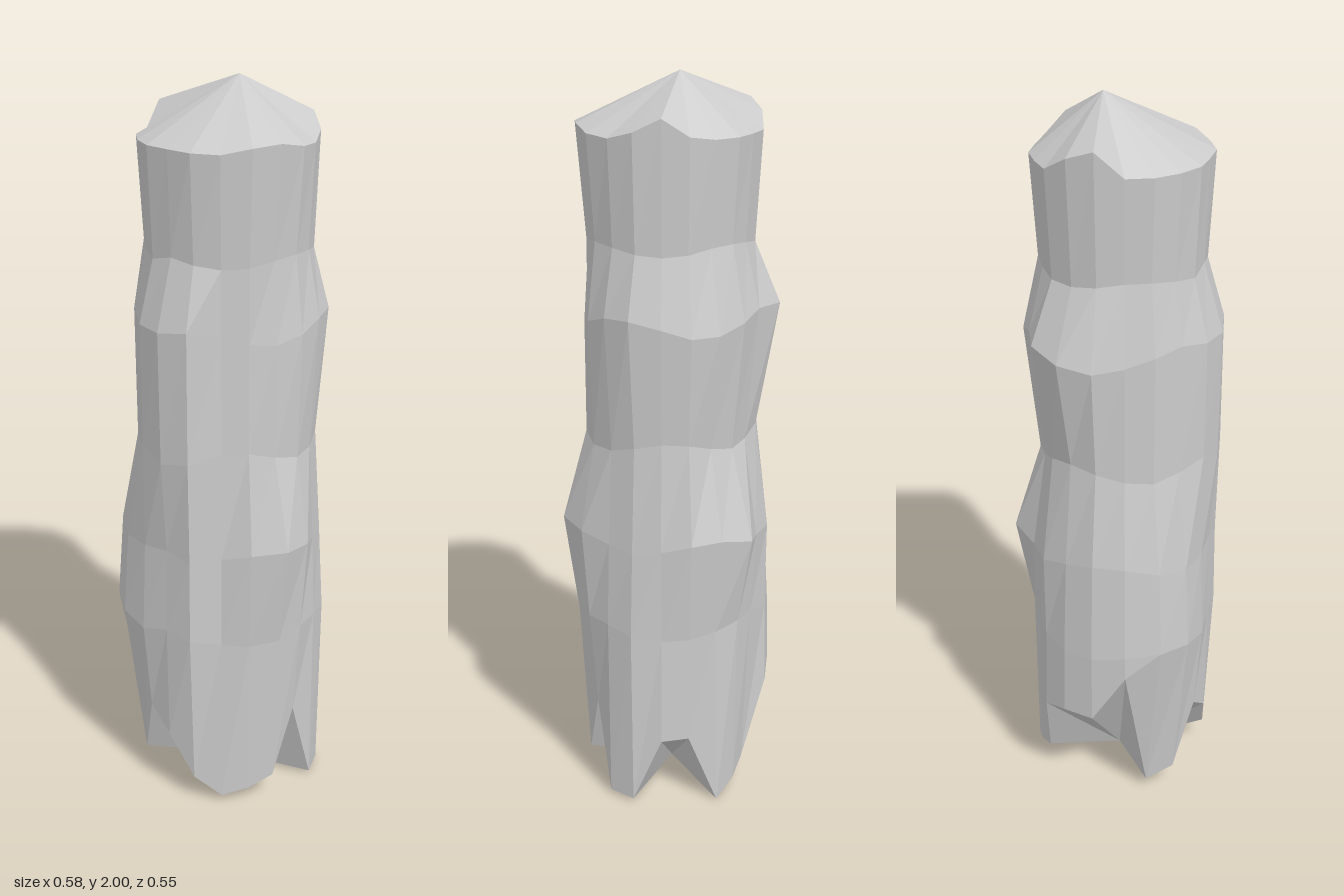
import * as THREE from 'three';

const SIDES = 20;

// Ragged foot, one [height, radius] per column,
// starting at the front and turning towards the model's left
const FOOT = [
  [0.20, 0.255], [0.08, 0.25], [0.02, 0.235], [0.04, 0.235], [0.07, 0.24],
  [0.26, 0.24], [0.01, 0.255], [0.01, 0.26], [0.20, 0.25], [0.20, 0.235],
  [0, 0.255], [0.03, 0.235], [0.06, 0.22], [0.28, 0.27], [0.31, 0.285],
  [0.31, 0.293], [0.46, 0.305], [0.03, 0.215], [0.07, 0.245], [0.26, 0.255],
];

// Rings above it: height, waviness of the height, and radii every 36 degrees
const RINGS = [
  { y: 0.52, wave: 0.015, r: [0.26, 0.245, 0.265, 0.25, 0.245, 0.243, 0.24, 0.28, 0.305, 0.30] },
  { y: 0.78, wave: 0.02, r: [0.255, 0.245, 0.303, 0.25, 0.25, 0.272, 0.26, 0.265, 0.285, 0.285] },
  { y: 1.05, wave: 0.02, r: [0.272, 0.24, 0.235, 0.235, 0.23, 0.21, 0.215, 0.235, 0.24, 0.25] },
  { y: 1.38, wave: 0.025, r: [0.276, 0.235, 0.235, 0.255, 0.25, 0.25, 0.25, 0.293, 0.245, 0.25] },
  { y: 1.57, wave: 0.01, r: [0.222, 0.225, 0.22, 0.222, 0.215, 0.203, 0.21, 0.22, 0.215, 0.22] },
  { y: 1.85, wave: 0, r: [0.23, 0.247, 0.247, 0.235, 0.225, 0.223, 0.225, 0.238, 0.23, 0.235] },
];
const TOP = RINGS.length;

// Ridges (+) and grooves (-): column, first ring, last ring, change of radius
const RIDGES = [
  [1, 1, 4, 0.015], [2, 1, 4, -0.008], [3, 1, 4, -0.012], [6, 1, 1, 0.008],
  [7, 1, 1, 0.015], [7, 4, 4, 0.008], [9, 1, 1, -0.01], [11, 2, 2, 0.022],
  [12, 2, 2, -0.006], [13, 4, 4, 0.012], [17, 1, 2, 0.008], [19, 1, 2, -0.008],
];

// Columns where the top rim is lifted
const RIM_LIFTS = { 3: 0.015, 4: 0.02, 5: 0.005, 7: 0.02, 8: 0.055, 9: 0.01, 14: 0.04, 15: 0.065 };

// Corner of level i (0 is the foot) in column k
function corner(i, k) {
  k %= SIDES;
  let [y, radius] = FOOT[k];
  if (i > 0) {
    const ring = RINGS[i - 1], n = Math.floor(k / 2);
    radius = k % 2 ? (ring.r[n] + ring.r[(n + 1) % 10]) / 2 + 0.004 : ring.r[n];
    for (const [column, from, to, change] of RIDGES) {
      if (column === k && i >= from && i <= to) radius += change;
    }
    y = ring.y + ring.wave * Math.sin(k * 1.1 + i * 1.7);
    if (i === TOP) y += RIM_LIFTS[k] || 0;
  }
  const a = (k / SIDES) * Math.PI * 2;
  return [radius * Math.sin(a), y, radius * Math.cos(a)];
}

function facetedMesh(name, triangles) {
  const geometry = new THREE.BufferGeometry();
  geometry.setAttribute('position', new THREE.Float32BufferAttribute(triangles.flat(), 3));
  geometry.computeVertexNormals();
  const mesh = new THREE.Mesh(geometry, new THREE.MeshStandardMaterial({ color: 0xcccccc, flatShading: true }));
  mesh.name = name;
  return mesh;
}

export function createModel() {
  const group = new THREE.Group();
  group.name = 'lumpyPillar';
  const body = [], cap = [], underside = [];
  const tip = [0, 2, -0.043], base = [0, 0.01, 0];

  for (let k = 0; k < SIDES; k++) {
    // Side wall, level to level
    for (let i = 0; i < TOP; i++) {
      const a = corner(i, k), b = corner(i, k + 1);
      const c = corner(i + 1, k + 1), d = corner(i + 1, k);
      body.push(a, b, c, a, c, d);
    }
    // Pointed cap and ragged underside
    cap.push(corner(TOP, k), corner(TOP, k + 1), tip);
    underside.push(corner(0, k + 1), corner(0, k), base);
  }

  group.add(facetedMesh('body', body), facetedMesh('cap', cap), facetedMesh('underside', underside));
  return group;
}
